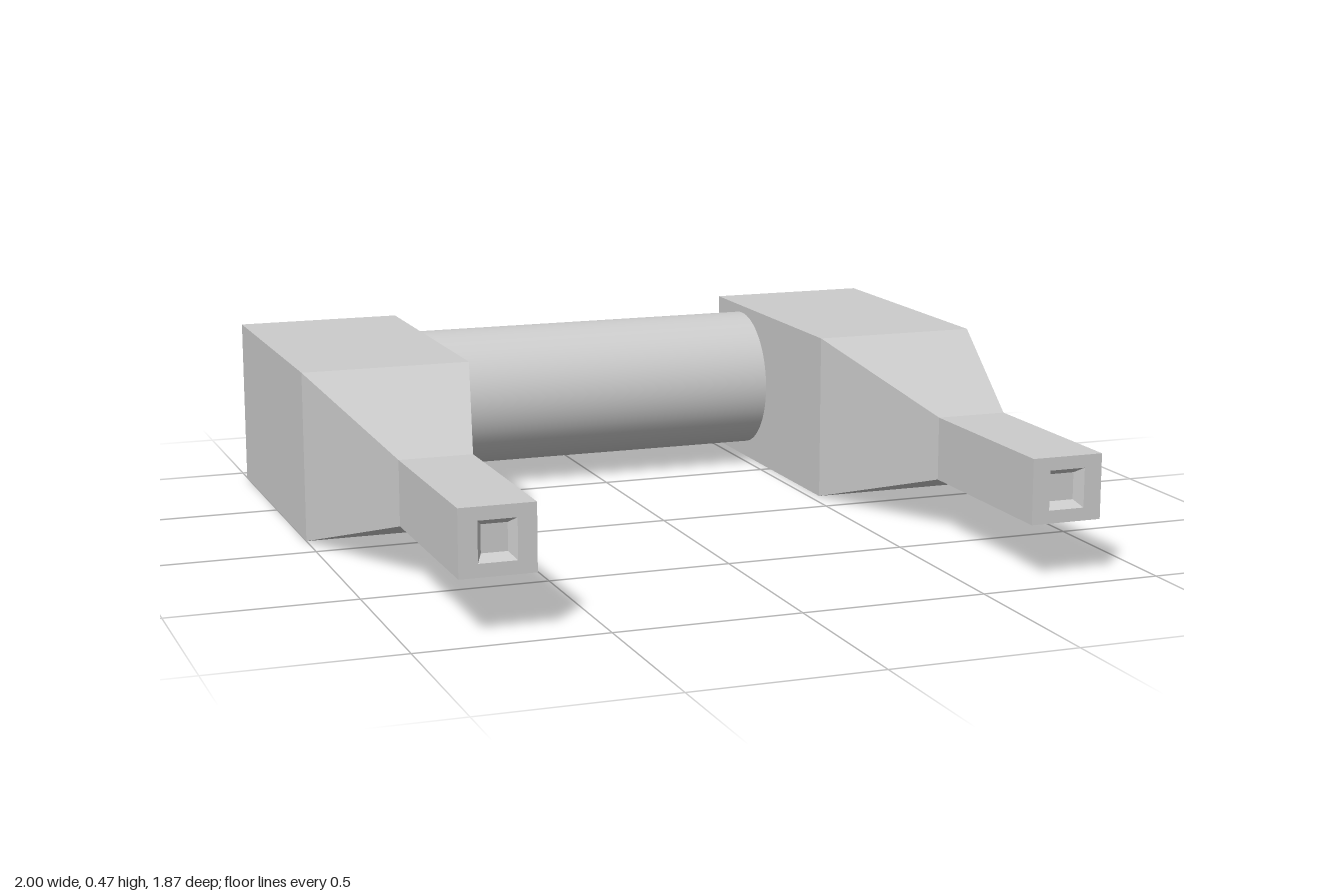
import * as THREE from 'three';

const material = new THREE.MeshStandardMaterial({ color: 0xcccccc });
const CORNERS = [[-1, -1], [1, -1], [1, 1], [-1, 1]];

// Skin a chain of rectangles [z, halfWidth, halfHeight, centreY] and cap both ends
function skinRectangles(sections) {
  const rings = sections.map(([z, w, h, y]) => CORNERS.map(([sx, sy]) => [sx * w, y + sy * h, z]));
  const pos = [];
  const quad = (a, b, c, d) => pos.push(...a, ...b, ...c, ...a, ...c, ...d);
  for (let i = 0; i < rings.length - 1; i++) {
    for (let j = 0; j < 4; j++) {
      const k = (j + 1) % 4;
      quad(rings[i][j], rings[i][k], rings[i + 1][k], rings[i + 1][j]);
    }
  }
  const first = rings[0], last = rings[rings.length - 1];
  quad(first[3], first[2], first[1], first[0]);
  quad(...last);
  const geo = new THREE.BufferGeometry();
  geo.setAttribute('position', new THREE.Float32BufferAttribute(pos, 3));
  geo.computeVertexNormals();
  return geo;
}

export function createModel() {
  const group = new THREE.Group();

  // Side arms: square body, taper, narrow barrel, then a stepped-in muzzle recess
  const armGeometry = skinRectangles([
    [-0.935, 0.235, 0.235, 0.235],
    [-0.12, 0.235, 0.235, 0.235],
    [0.385, 0.099, 0.0875, 0.2375],
    [0.935, 0.099, 0.0875, 0.2375],
    [0.935, 0.05, 0.053, 0.2375],
    [0.905, 0.034, 0.036, 0.2375],
  ]);
  for (const [name, side] of [['leftArm', 1], ['rightArm', -1]]) {
    const arm = new THREE.Mesh(armGeometry, material);
    arm.name = name;
    arm.position.x = side * 0.765;
    group.add(arm);
  }

  // Smooth cross cylinder between the arms
  const crossbar = new THREE.Mesh(new THREE.CylinderGeometry(0.202, 0.202, 1.034, 64), material);
  crossbar.name = 'crossCylinder';
  crossbar.rotation.z = Math.PI / 2;
  crossbar.position.set(0.002, 0.252, -0.71);
  group.add(crossbar);

  return group;
}
